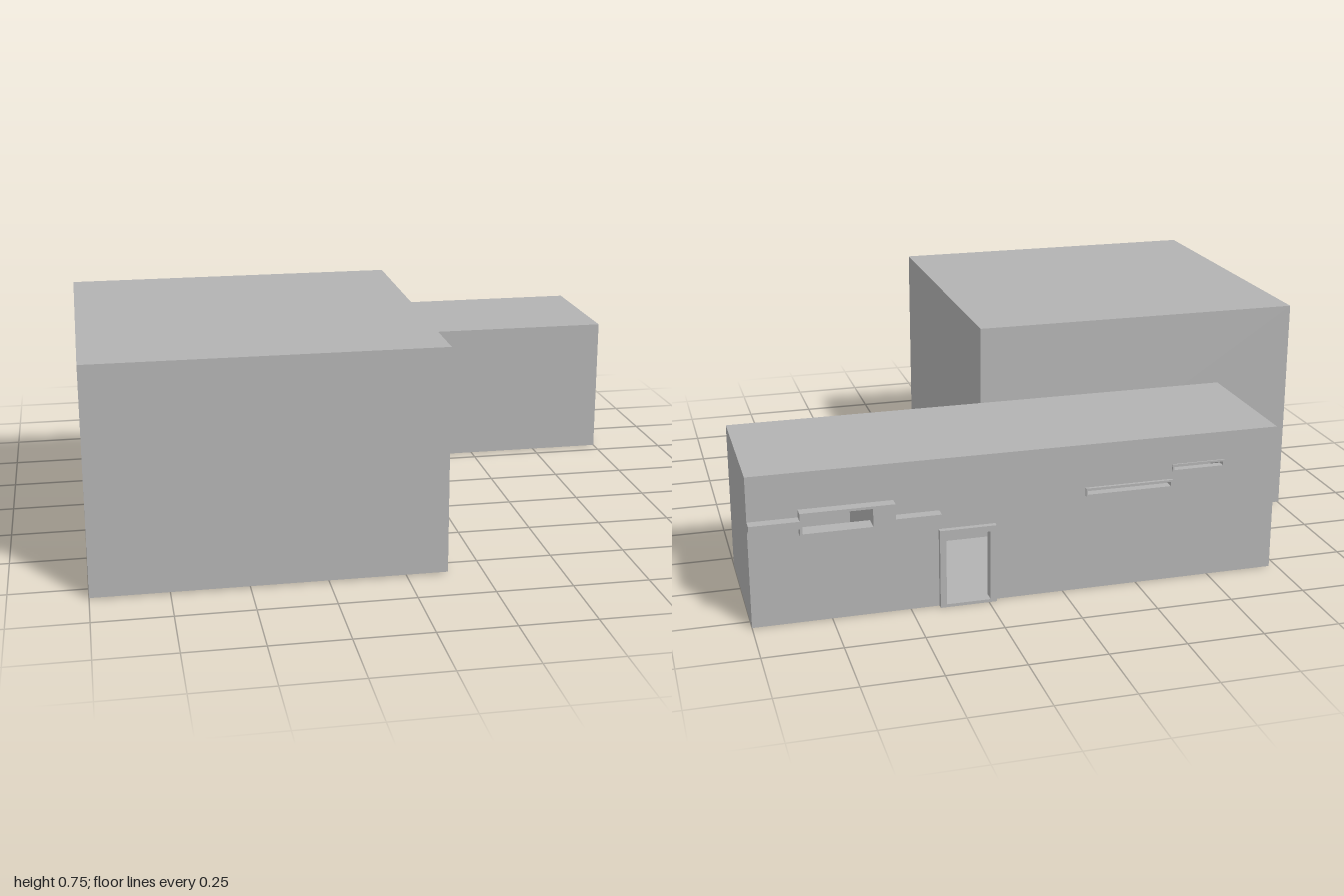
import * as THREE from 'three';

const grey = new THREE.MeshStandardMaterial({ color: 0xb2b2b2 });
grey.name = 'plain grey';

// Box given by its minimum and maximum corners
function block(name, [x0, y0, z0], [x1, y1, z1]) {
  const mesh = new THREE.Mesh(new THREE.BoxGeometry(x1 - x0, y1 - y0, z1 - z0), grey);
  mesh.position.set((x0 + x1) / 2, (y0 + y1) / 2, (z0 + z1) / 2);
  mesh.name = name;
  return mesh;
}

// Upright plate with rectangular openings; rectangles are [x0, y0, x1, y1]
function plate(name, outer, holes, z0, z1) {
  const trace = (path, [x0, y0, x1, y1]) =>
    path.moveTo(x0, y0).lineTo(x1, y0).lineTo(x1, y1).lineTo(x0, y1).closePath();
  const shape = new THREE.Shape();
  trace(shape, outer);
  for (const h of holes) {
    const path = new THREE.Path();
    trace(path, h);
    shape.holes.push(path);
  }
  const geometry = new THREE.ExtrudeGeometry(shape, { depth: z1 - z0, bevelEnabled: false });
  const mesh = new THREE.Mesh(geometry, grey);
  mesh.position.z = z0;
  mesh.name = name;
  return mesh;
}

export function createModel() {
  const model = new THREE.Group();
  model.name = 'twoBlockBuilding';

  // Large hall and the short passage behind it
  model.add(block('mainHall', [-1, 0.004, -0.284], [0.135, 0.75, 0.83]));
  model.add(block('passage', [-0.545, 0, -0.307], [-0.365, 0.255, -0.282]));

  // Long rear wing: hollow, with openings in its back wall
  const L = -0.725, R = 1, back = -0.795, front = -0.305, top = 0.495, t = 0.02;
  const wing = new THREE.Group();
  wing.name = 'rearWing';
  wing.add(block('floor', [L, 0, back + t], [R, 0.01, front]));
  wing.add(block('roof', [L, top - 0.04, back + t], [R, top, front]));
  wing.add(block('frontWall', [L, 0.01, front - t], [R, top - 0.04, front]));
  wing.add(block('rightWall', [L, 0.01, back + t], [L + t, top - 0.04, front - t]));
  wing.add(block('leftWall', [R - t, 0.01, back + t], [R, top - 0.04, front - t]));
  wing.add(block('partition', [0.585, 0.01, back + t], [0.605, top - 0.04, front - t]));

  // Each opening: outer frame, hole and how far the frame stands out
  const openings = [
    { name: 'doorFrame', outer: [0.225, 0, 0.408, 0.262], hole: [0.245, 0.01, 0.388, 0.243], out: 0.018 },
    { name: 'windowFrame', outer: [0.55, 0.3, 0.845, 0.375], hole: [0.62, 0.308, 0.837, 0.367], out: 0.036 },
    { name: 'longSlitFrame', outer: [-0.365, 0.323, -0.072, 0.35], hole: [-0.359, 0.329, -0.078, 0.344], out: 0.01 },
    { name: 'shortSlitFrame', outer: [-0.545, 0.375, -0.365, 0.4], hole: [-0.539, 0.381, -0.371, 0.394], out: 0.005 },
  ];
  wing.add(plate('backWall', [L, 0, R, top], openings.map((o) => o.hole), back, back + t));
  for (const o of openings) wing.add(plate(o.name, o.outer, [o.hole], back - o.out, back));

  // Ledges on both sides of the window
  wing.add(block('leftLedge', [0.845, 0.325, back - 0.036], [1, 0.35, back]));
  wing.add(block('rightLedge', [0.405, 0.3, back - 0.036], [0.55, 0.325, back]));
  model.add(wing);

  return model;
}
